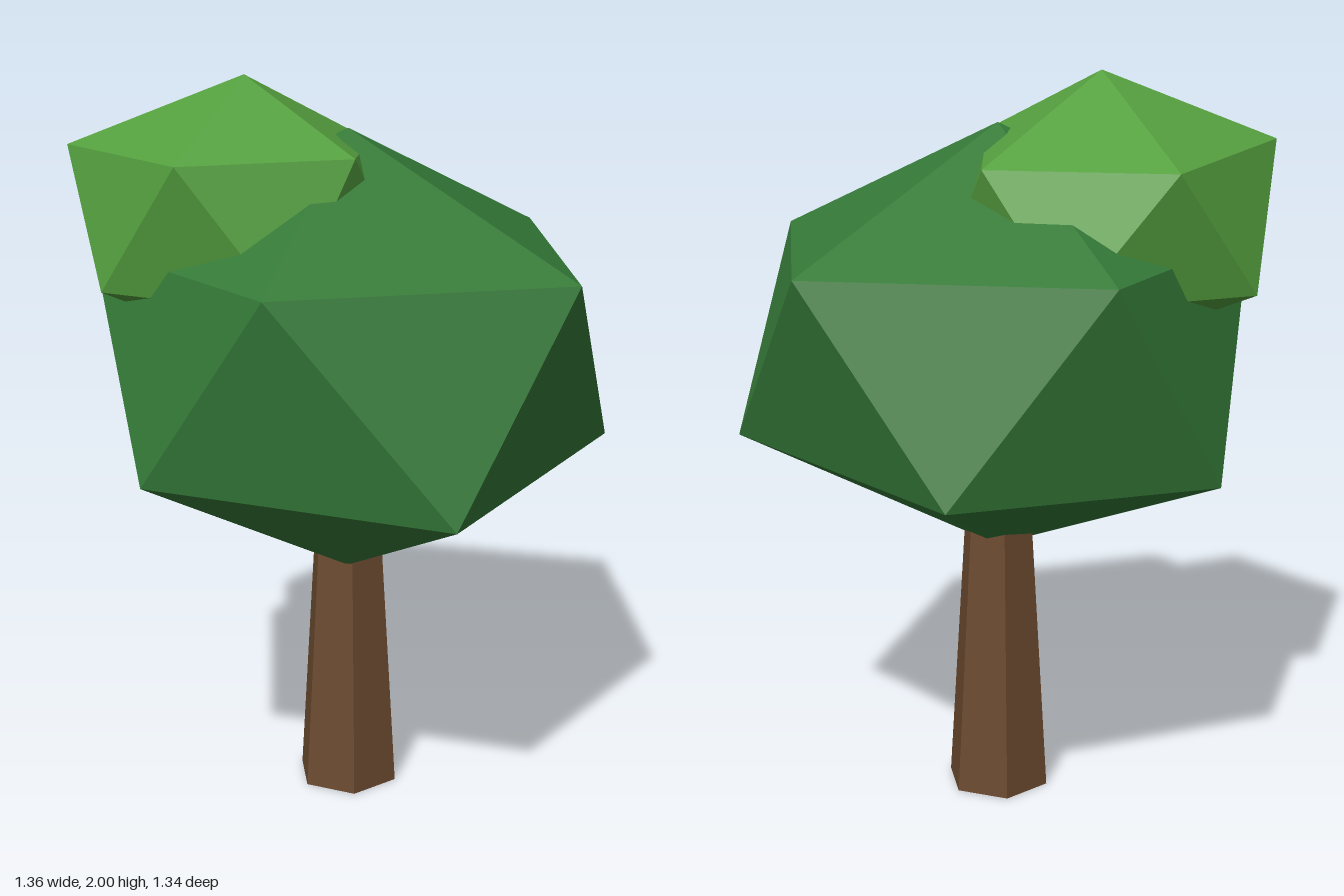
import * as THREE from 'three';

const flat = (name, color) => {
  const m = new THREE.MeshStandardMaterial({ color, flatShading: true });
  m.name = name;
  return m;
};

// Uneven twenty-sided clump: a tip, two staggered rings of five corners, a base.
// Rings run from +x towards +z; lower corner i sits between upper corners i and i + 1.
function clumpGeometry(tip, upper, lower, base) {
  const pos = [];
  const n = upper.length;
  for (let i = 0; i < n; i++) {
    const j = (i + 1) % n;
    pos.push(
      ...tip, ...upper[j], ...upper[i],
      ...upper[i], ...upper[j], ...lower[i],
      ...lower[i], ...upper[j], ...lower[j],
      ...base, ...lower[i], ...lower[j]
    );
  }
  const g = new THREE.BufferGeometry();
  g.setAttribute('position', new THREE.Float32BufferAttribute(pos, 3));
  g.computeVertexNormals();
  return g;
}

export function createModel() {
  const tree = new THREE.Group();
  tree.name = 'tree';
  const add = (name, geometry, material) => {
    const mesh = new THREE.Mesh(geometry, material);
    mesh.name = name;
    tree.add(mesh);
    return mesh;
  };

  // Tapered six-sided trunk, its top buried in the leaves
  const trunk = add('trunk',
    new THREE.CylinderGeometry(0.09, 0.146, 0.9, 6).rotateY(Math.PI / 6),
    flat('bark brown', 0x6b4a2f));
  trunk.position.set(0.002, 0.45, -0.018);

  // Large dark crown
  add('mainCrown', clumpGeometry(
    [-0.01, 1.865, 0],
    [[0.68, 1.54, -0.05], [0.2, 1.54, 0.67], [-0.54, 1.55, 0.37], [-0.55, 1.55, -0.4], [0.18, 1.55, -0.67]],
    [[0.56, 1.03, 0.41], [-0.18, 0.98, 0.665], [-0.68, 1.02, 0.02], [-0.2, 0.985, -0.66], [0.52, 1.01, -0.44]],
    [-0.05, 0.675, 0.05]
  ), flat('dark leaf green', 0x357a38));

  // Small bright crown sunk into the back right of the large one
  add('upperCrown', clumpGeometry(
    [-0.215, 2, -0.175],
    [[0.23, 1.785, -0.225], [-0.13, 1.82, 0.19], [-0.57, 1.825, 0.045], [-0.585, 1.82, -0.455], [-0.07, 1.79, -0.615]],
    [[0.165, 1.46, 0.035], [-0.35, 1.46, 0.2], [-0.645, 1.48, -0.2], [-0.34, 1.46, -0.63], [0.15, 1.46, -0.465]],
    [-0.21, 1.27, -0.22]
  ), flat('bright leaf green', 0x55a03f));

  return tree;
}
